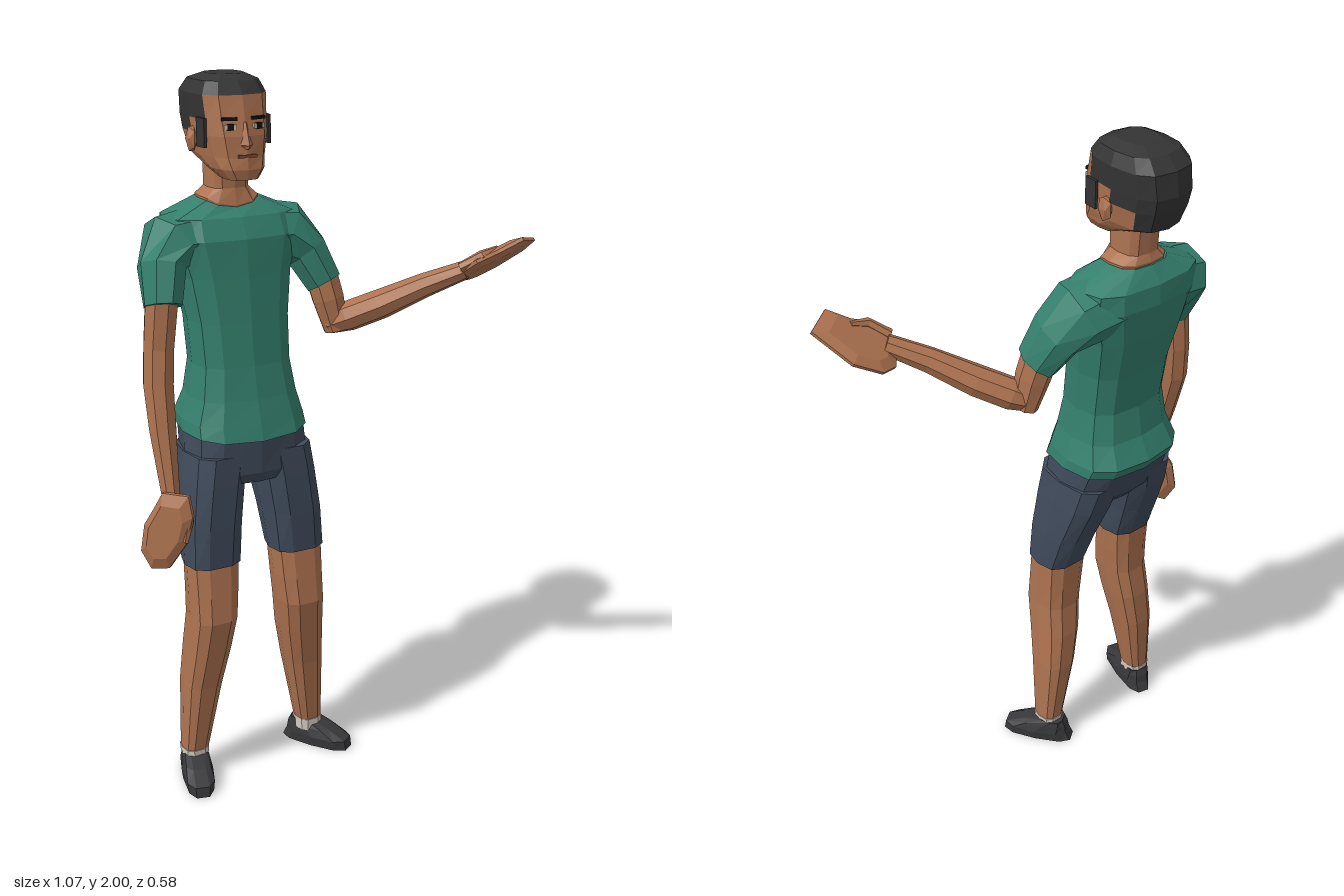
import * as THREE from 'three';

const V = (x, y, z) => new THREE.Vector3(x, y, z);
const material = (name, color) => Object.assign(new THREE.MeshStandardMaterial({ color }), { name });
const skin = material('skin', 0xae7350);
const cloth = material('shirtGreen', 0x347f6d);
const denim = material('shortsBlue', 0x3f4a5a);
const hair = material('hair', 0x343435);
const leather = material('shoeGrey', 0x38383b);
const wool = material('sockWhite', 0xd6d0c4);
const dark = material('eyeDark', 0x17130f);
const lip = material('lip', 0x7d4a36);
const white = material('eyeWhite', 0xc9bfb2);

const C = -0.215; // the body's own middle line

// Faceted skin over rings of equal point count; pick(i, j) chooses each panel's material.
function loft(name, rings, mat) {
  const pick = typeof mat === 'function' ? mat : () => mat;
  const faces = new Map();
  const tri = (m, ...pts) => {
    if (!faces.has(m)) faces.set(m, []);
    faces.get(m).push(...pts);
  };
  const n = rings[0].length, last = rings.length - 1;
  const mid = r => r.reduce((s, p) => s.add(p), V(0, 0, 0)).divideScalar(n);
  const low = mid(rings[0]), high = mid(rings[last]);
  for (let j = 0; j < n; j++) {
    const k = (j + 1) % n;
    for (let i = 0; i < last; i++) {
      const [a, b, c, d] = [rings[i][j], rings[i][k], rings[i + 1][k], rings[i + 1][j]];
      tri(pick(i, j), a, b, c, a, c, d);
    }
    tri(pick(0, j), low, rings[0][k], rings[0][j]);
    tri(pick(last, j), high, rings[last][j], rings[last][k]);
  }
  const group = new THREE.Group();
  group.name = name;
  for (const [m, pts] of faces) {
    const g = new THREE.BufferGeometry().setFromPoints(pts);
    g.computeVertexNormals();
    const mesh = new THREE.Mesh(g, m);
    mesh.name = name + '_' + m.name;
    group.add(mesh);
  }
  return group;
}

// Level ring with rounded-box outline; dip lowers its front.
function ring([y, cx, hw, zf, zb, dip = 0], n = 12, pow = 0.7) {
  const soft = v => Math.sign(v) * Math.abs(v) ** pow;
  return Array.from({ length: n }, (_, j) => {
    const a = j / n * Math.PI * 2, s = Math.sin(a);
    return V(cx + hw * soft(Math.cos(a)), y - dip * Math.max(0, -s) ** 3,
      (zf + zb) / 2 - (zf - zb) / 2 * soft(s));
  });
}
const stack = (name, rows, mat, n, pow) => loft(name, rows.map(r => ring(r, n, pow)), mat);

// Limb along a path of [x, y, z, width radius, depth radius].
function limb(name, path, mat, ref = V(0, 0, 1), n = 8) {
  const pts = path.map(p => V(p[0], p[1], p[2]));
  const rings = pts.map((p, i) => {
    const t = pts[Math.min(i + 1, pts.length - 1)].clone().sub(pts[Math.max(i - 1, 0)]).normalize();
    const u = ref.clone().cross(t).normalize(), v = t.clone().cross(u);
    return Array.from({ length: n }, (_, j) => {
      const a = j / n * Math.PI * 2;
      return p.clone().addScaledVector(u, path[i][3] * Math.cos(a))
        .addScaledVector(v, path[i][4] * Math.sin(a));
    });
  });
  return loft(name, rings, mat);
}

// Flat hand: an outline thickened along its normal, with softened rims.
function palm(name, outline, normal, half) {
  const mid = outline.reduce((s, p) => s.add(p), V(0, 0, 0)).divideScalar(outline.length);
  const area = V(0, 0, 0);
  outline.forEach((p, i) => area.add(p.clone().sub(mid)
    .cross(outline[(i + 1) % outline.length].clone().sub(mid))));
  if (area.dot(normal) < 0) outline.reverse();
  const layer = (k, shrink) => outline.map(p => p.clone().lerp(mid, shrink).addScaledVector(normal, k * half));
  return loft(name, [layer(-1, 0.3), layer(-0.3, 0), layer(0.3, 0), layer(1, 0.3)], skin);
}

function createHead() {
  const head = new THREE.Group();
  head.name = 'head';
  const rows = [[1.738, 0.045, 0, -0.11], [1.765, 0.068, 0.006, -0.17], [1.795, 0.08, 0.002, -0.262],
    [1.85, 0.092, -0.002, -0.282], [1.89, 0.096, -0.012, -0.29], [1.952, 0.1, -0.026, -0.28],
    [1.985, 0.084, -0.05, -0.245], [2.0, 0.05, -0.085, -0.195]].map(([y, ...r]) => [y, C, ...r]);
  // First hair row for each column: nape, beside the ears, temples, forehead
  const start = [3, 2, 2, 2, 2, 3, 4, 5, 5, 5, 5, 4];
  head.add(stack('skull', rows, (i, j) => (i >= start[j] ? hair : skin)));
  head.add(stack('nose', [[1.818, C, 0.012, 0.008, -0.03], [1.828, C, 0.02, 0.014, -0.03],
    [1.885, C, 0.009, -0.006, -0.03]], skin, 4, 1));

  const plate = (name, w, h, x, y, z, yaw, mat, d = 0.008) => {
    const m = new THREE.Mesh(new THREE.BoxGeometry(w, h, d), mat);
    m.name = name;
    m.position.set(C + x, y, z);
    m.rotation.y = yaw;
    head.add(m);
  };
  for (const s of [-1, 1]) {
    plate('eyeWhite', 0.034, 0.013, s * 0.04, 1.874, -0.016, s * 0.22, white);
    plate('iris', 0.017, 0.016, s * 0.04, 1.874, -0.0145, s * 0.22, dark);
    plate('eyebrow', 0.042, 0.008, s * 0.041, 1.894, -0.019, s * 0.22, dark);
    plate('sideburn', 0.042, 0.075, s * 0.0935, 1.857, -0.079, s * 1.48, hair);
    const ear = new THREE.Mesh(new THREE.IcosahedronGeometry(1, 0), skin);
    ear.name = 'ear';
    ear.scale.set(0.015, 0.038, 0.024);
    ear.position.set(C + s * 0.098, 1.835, -0.135);
    head.add(ear);
  }
  plate('mouth', 0.052, 0.008, 0, 1.8, 0, 0, lip);
  return head;
}

function createShoe(name, x, z, yaw, length) {
  const shoe = stack(name, [[0, 0, 0.042, length, -0.075], [0.03, 0, 0.046, length - 0.005, -0.06],
    [0.055, 0, 0.041, length * 0.6, -0.055], [0.075, 0, 0.036, 0.03, -0.045]], leather, 10);
  shoe.position.set(x, 0, z);
  shoe.rotation.y = yaw;
  return shoe;
}

export function createModel() {
  const model = new THREE.Group();
  model.name = 'standingMan';
  model.add(createHead());

  // Neck and collar skin
  model.add(stack('neck', [[1.63, C, 0.08, -0.08, -0.2, 0.02], [1.684, C, 0.082, -0.072, -0.208, 0.024],
    [1.705, C, 0.055, -0.083, -0.2], [1.79, C, 0.055, -0.08, -0.205]], skin));

  // Shirt body
  model.add(stack('shirt', [[1.052, C, 0.175, 0.07, -0.225, 0.012], [1.085, C, 0.172, 0.058, -0.24],
    [1.15, C, 0.152, 0.04, -0.205], [1.24, C, 0.138, 0.022, -0.19], [1.36, C, 0.142, 0.008, -0.205],
    [1.48, C, 0.16, -0.004, -0.235], [1.58, C, 0.19, -0.012, -0.25], [1.635, C, 0.185, -0.04, -0.245],
    [1.678, C, 0.086, -0.07, -0.212, 0.022]], cloth));

  // Sleeves
  model.add(limb('rightSleeve', [[-0.31, 1.572, -0.135, 0.088, 0.105], [-0.385, 1.565, -0.128, 0.085, 0.1],
    [-0.425, 1.51, -0.098, 0.062, 0.082], [-0.439, 1.415, -0.062, 0.052, 0.064]], cloth));
  model.add(limb('leftSleeve', [[-0.12, 1.572, -0.135, 0.088, 0.105], [-0.045, 1.565, -0.128, 0.085, 0.1],
    [0.005, 1.51, -0.098, 0.062, 0.082], [0.042, 1.425, -0.065, 0.052, 0.064]], cloth));

  // Hanging right arm and hand
  model.add(limb('rightArm', [[-0.438, 1.45, -0.07, 0.046, 0.052], [-0.45, 1.3, -0.078, 0.043, 0.048],
    [-0.458, 1.2, -0.07, 0.043, 0.048], [-0.46, 1.08, -0.045, 0.039, 0.04],
    [-0.46, 0.9, -0.005, 0.026, 0.03]], skin));
  const hang = [[-0.487, 0.92], [-0.435, 0.92], [-0.428, 0.86], [-0.442, 0.78], [-0.478, 0.7],
    [-0.515, 0.69], [-0.535, 0.74], [-0.526, 0.82], [-0.502, 0.88]];
  model.add(palm('rightHand', hang.map(([x, y]) => V(x, y, -0.04 + (x + 0.53) * 1.1)), V(0.74, 0, -0.67), 0.02));
  model.add(limb('rightThumb', [[-0.445, 0.89, 0.03, 0.015, 0.018], [-0.435, 0.84, 0.055, 0.016, 0.017],
    [-0.448, 0.785, 0.058, 0.009, 0.01]], skin, V(0, 0, 1), 6));

  // Raised left arm with open hand
  model.add(limb('leftUpperArm', [[0.035, 1.46, -0.075, 0.047, 0.052], [0.053, 1.38, -0.06, 0.046, 0.05],
    [0.072, 1.29, -0.048, 0.034, 0.04]], skin));
  model.add(limb('leftForearm', [[0.055, 1.305, -0.06, 0.035, 0.03], [0.1, 1.33, -0.025, 0.05, 0.043],
    [0.17, 1.37, 0.035, 0.049, 0.042], [0.26, 1.43, 0.115, 0.038, 0.034],
    [0.345, 1.478, 0.185, 0.034, 0.026]], skin, V(0, 1, 0)));
  const open = [[0.31, 0.19], [0.355, 0.13], [0.4, 0.12], [0.47, 0.15], [0.53, 0.24], [0.455, 0.29],
    [0.4, 0.26], [0.34, 0.245]];
  model.add(palm('leftHand', open.map(([x, z]) => V(x, 1.572 + 0.24 * (x - 0.455) + 0.7 * (z - 0.29), z)),
    V(-0.24, 1, -0.7).normalize(), 0.016));
  model.add(limb('leftThumb', [[0.32, 1.49, 0.2, 0.017, 0.015], [0.365, 1.525, 0.235, 0.017, 0.015],
    [0.415, 1.54, 0.235, 0.009, 0.008]], skin, V(0, 1, 0), 6));

  // Shorts seat
  model.add(stack('shortsSeat', [[0.915, C, 0.12, 0.045, -0.15], [0.945, C, 0.18, 0.058, -0.175],
    [1.06, C, 0.17, 0.06, -0.222]], denim));

  for (const s of [-1, 1]) {
    const side = s < 0 ? 'right' : 'left';
    const leg = (name, rows, mat, n) => model.add(stack(side + name,
      rows.map(([y, d, ...r]) => [y, C + s * d, ...r]), mat, n));
    leg('ShortsLeg', [[0.685, 0.13, 0.079, 0.062, -0.084], [0.8, 0.123, 0.082, 0.062, -0.125],
      [0.92, 0.108, 0.083, 0.06, -0.17], [1.0, 0.095, 0.085, 0.055, -0.19]], denim, 10);
    leg('Leg', [[0.08, 0.187, 0.037, 0, -0.08], [0.3, 0.163, 0.055, 0.03, -0.095],
      [0.42, 0.147, 0.062, 0.055, -0.09], [0.52, 0.137, 0.066, 0.074, -0.076],
      [0.6, 0.133, 0.07, 0.066, -0.076], [0.7, 0.13, 0.074, 0.056, -0.08]], skin, 10);
    leg('Sock', [[0.05, 0.187, 0.037, 0, -0.08], [0.088, 0.187, 0.039, 0.003, -0.083]], wool, 10);
  }
  model.add(createShoe('rightShoe', -0.402, -0.04, -0.25, 0.155));
  model.add(createShoe('leftShoe', -0.026, -0.05, 0.6, 0.15));
  return model;
}
